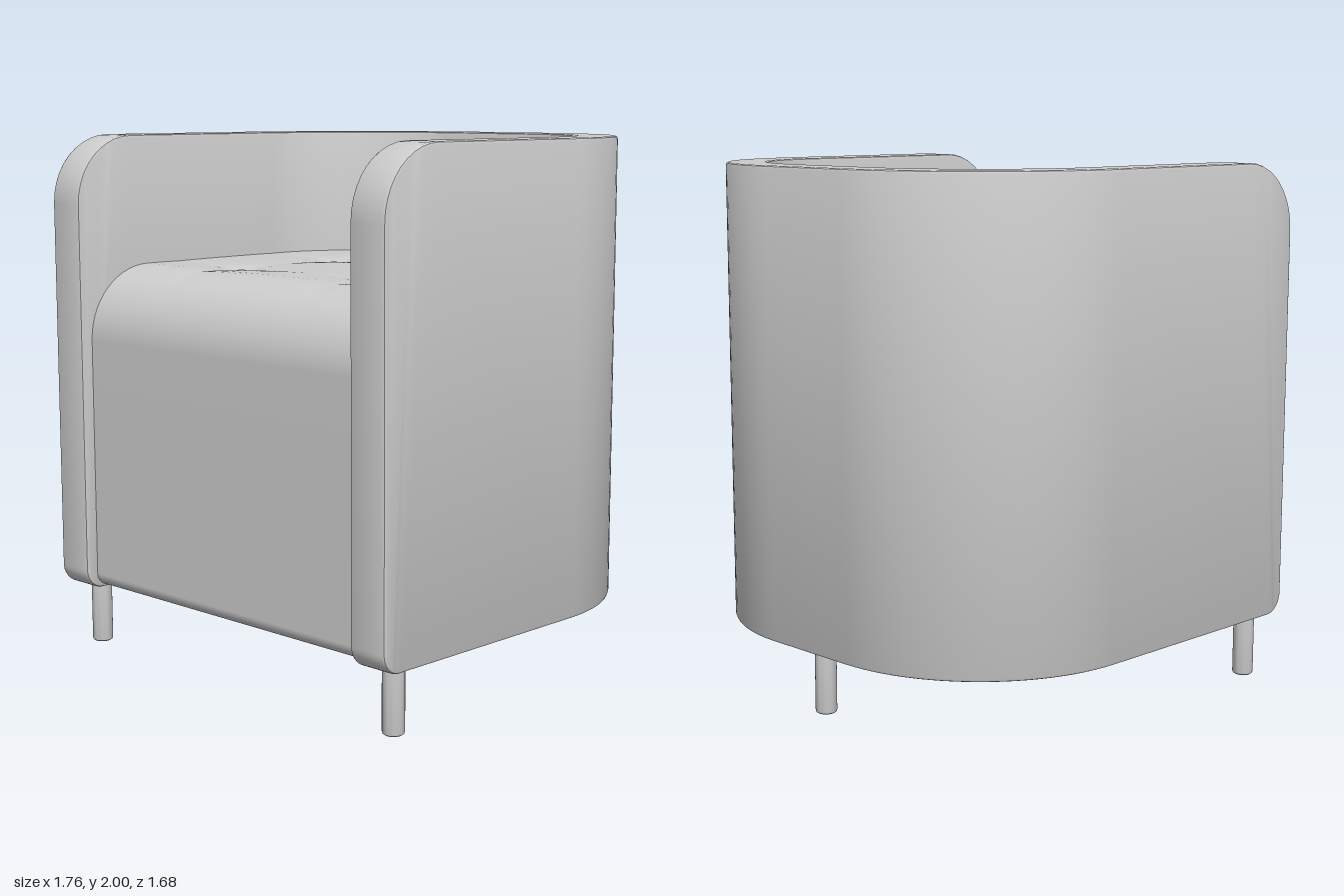
import * as THREE from 'three';
import { toCreasedNormals } from 'three/addons/utils/BufferGeometryUtils.js';

const R = 0.68, THICK = 0.16, BEVEL = 0.012;   // outer back radius, wall thickness, edge bevel
const ARC = R * Math.PI / 2, LENGTH = 2 * (1 + ARC + 0.2);

// Maps distance u along the U-shaped wall and depth d into it to floor position
function bend(u, d) {
  if (u > LENGTH / 2) {
    const [x, z] = bend(LENGTH - u, d);
    return [-x, z];
  }
  if (u <= 1) return [0.88 - d, 0.84 - u];
  if (u < 1 + ARC) {
    const a = (u - 1) / R;
    return [0.2 + (R - d) * Math.cos(a), -0.16 - (R - d) * Math.sin(a)];
  }
  return [0.2 - (u - 1 - ARC), -0.84 + d];
}

// One long edge of the unrolled wall, rounded at both ends: [u, y, normalU, normalY]
function wallEdge(y, r, dir) {
  const half = [];
  for (let i = 0; i <= 10; i++) {
    const a = i / 10 * Math.PI / 2;
    half.push([r - r * Math.cos(a), y - dir * r * (1 - Math.sin(a)), -Math.cos(a), dir * Math.sin(a)]);
  }
  for (let i = 0; i <= 24; i++) half.push([1 + ARC * i / 24, y, 0, dir]);
  const other = half.map(([u, v, nu, nv]) => [LENGTH - u, v, -nu, nv]).reverse();
  return half.concat(other);
}

function wallGeometry() {
  const top = wallEdge(2, 0.26, 1), bottom = wallEdge(0.24, 0.08, -1);
  const n = top.length, loop = top.concat(bottom.reverse()), m = loop.length;
  const pos = [], index = [];
  const rings = [[0, BEVEL], [BEVEL * 0.3, BEVEL * 0.3], [BEVEL, 0],
    [THICK - BEVEL, 0], [THICK - BEVEL * 0.3, BEVEL * 0.3], [THICK, BEVEL]];
  for (const [d, inset] of rings) {
    for (const [u, y, nu, ny] of loop) {
      const [x, z] = bend(u - nu * inset, d);
      pos.push(x, y - ny * inset, z);
    }
  }
  const quad = (a, b, c, d) => index.push(a, b, c, a, c, d);
  // rim between the outer and inner faces
  for (let k = 0; k < rings.length - 1; k++) {
    for (let i = 0; i < m; i++) {
      const j = (i + 1) % m;
      quad(k * m + i, k * m + j, (k + 1) * m + j, (k + 1) * m + i);
    }
  }
  // outer and inner faces
  const inner = (rings.length - 1) * m;
  for (let i = 0; i < n - 1; i++) {
    const b = m - 1 - i;
    quad(i, b, b - 1, i + 1);
    quad(inner + i, inner + i + 1, inner + b - 1, inner + b);
  }
  const g = new THREE.BufferGeometry();
  g.setAttribute('position', new THREE.Float32BufferAttribute(pos, 3));
  g.setIndex(index);
  return toCreasedNormals(g, 0.42);
}

const BUTTON_X = [-0.36, 0.36], BUTTON_Z = [-0.16, 0.34];

// Depth of the tufting creases and button dimples
function tuft(x, z) {
  const crease = (t, lines) => Math.max(...lines.map(l => Math.exp(-Math.abs(t - l) / 0.06)));
  const near = (t, lines) => Math.max(...lines.map(l => Math.exp(-(((t - l) / 0.25) ** 2))));
  let depth = 0.012 * crease(x, BUTTON_X) * near(z, BUTTON_Z) + 0.012 * crease(z, BUTTON_Z) * near(x, BUTTON_X);
  for (const bx of BUTTON_X) for (const bz of BUTTON_Z) {
    depth += 0.014 * Math.exp(-((x - bx) ** 2 + (z - bz) ** 2) / 0.004);
  }
  return depth;
}

// Seat sheet: flat tufted top, rolled front, straight apron, tucked bottom edge
function seatGeometry() {
  const rows = [];   // [z, y, normalZ, normalY]
  const front = 0.79, roll = 0.28, hem = 0.05;
  for (let i = 0; i <= 64; i++) {
    const t = i / 64;
    rows.push([-0.685 + (front - roll + 0.685) * (i < 8 ? t * t * 8 : t), 1.5, 0, 1]);
  }
  for (let i = 1; i <= 14; i++) {
    const a = i / 14 * Math.PI / 2;
    rows.push([front - roll + roll * Math.sin(a), 1.5 - roll + roll * Math.cos(a), Math.sin(a), Math.cos(a)]);
  }
  rows.push([front, 0.8, 1, 0]);
  for (let i = 0; i <= 6; i++) {
    const a = i / 6 * Math.PI / 2;
    rows.push([front - hem + hem * Math.cos(a), 0.25 + hem - hem * Math.sin(a), 0, 0]);
  }
  const cols = 72, pos = [], index = [];
  rows.forEach(([z, y, nz, ny], r) => {
    const back = Math.min(0, z + 0.16);
    const w = 0.205 + Math.sqrt(Math.max(0, 0.52 ** 2 - back * back));
    for (let c = 0; c <= cols; c++) {
      const x = w * (2 * c / cols - 1);
      const d = tuft(x, z) * Math.max(0, ny);
      pos.push(x, y - d * ny, z - d * nz);
      if (r && c) {
        const p = r * (cols + 1) + c, q = p - cols - 1;
        index.push(q - 1, p - 1, p, q - 1, p, q);
      }
    }
  });
  const g = new THREE.BufferGeometry();
  g.setAttribute('position', new THREE.Float32BufferAttribute(pos, 3));
  g.setIndex(index);
  g.computeVertexNormals();
  return g;
}

export function createModel() {
  const model = new THREE.Group();
  model.name = 'tubArmchair';
  const grey = new THREE.MeshStandardMaterial({ color: 0xcccccc, side: THREE.DoubleSide });
  grey.name = 'light grey';
  const add = (name, geometry, x = 0, y = 0, z = 0) => {
    const mesh = new THREE.Mesh(geometry, grey);
    mesh.name = name;
    mesh.position.set(x, y, z);
    model.add(mesh);
    return mesh;
  };

  add('wraparoundBackAndArms', wallGeometry());
  add('tuftedSeat', seatGeometry());

  // Buttons in the seat tufts
  const button = new THREE.SphereGeometry(0.028, 20, 12);
  for (const x of BUTTON_X) for (const z of BUTTON_Z) {
    add('seatButton', button, x, 1.5 - tuft(x, z) + 0.008, z).scale.y = 0.6;
  }

  // Three round legs with softened feet
  const profile = [[0, 0], [0.032, 0], [0.038, 0.004], [0.04, 0.012], [0.04, 0.25], [0, 0.25]];
  const leg = toCreasedNormals(new THREE.LatheGeometry(profile.map(p => new THREE.Vector2(...p)), 24), 0.7);
  add('frontLegLeft', leg, 0.8, 0, 0.71);
  add('frontLegRight', leg, -0.8, 0, 0.71);
  add('backLeg', leg, 0, 0, -0.76);
  return model;
}
